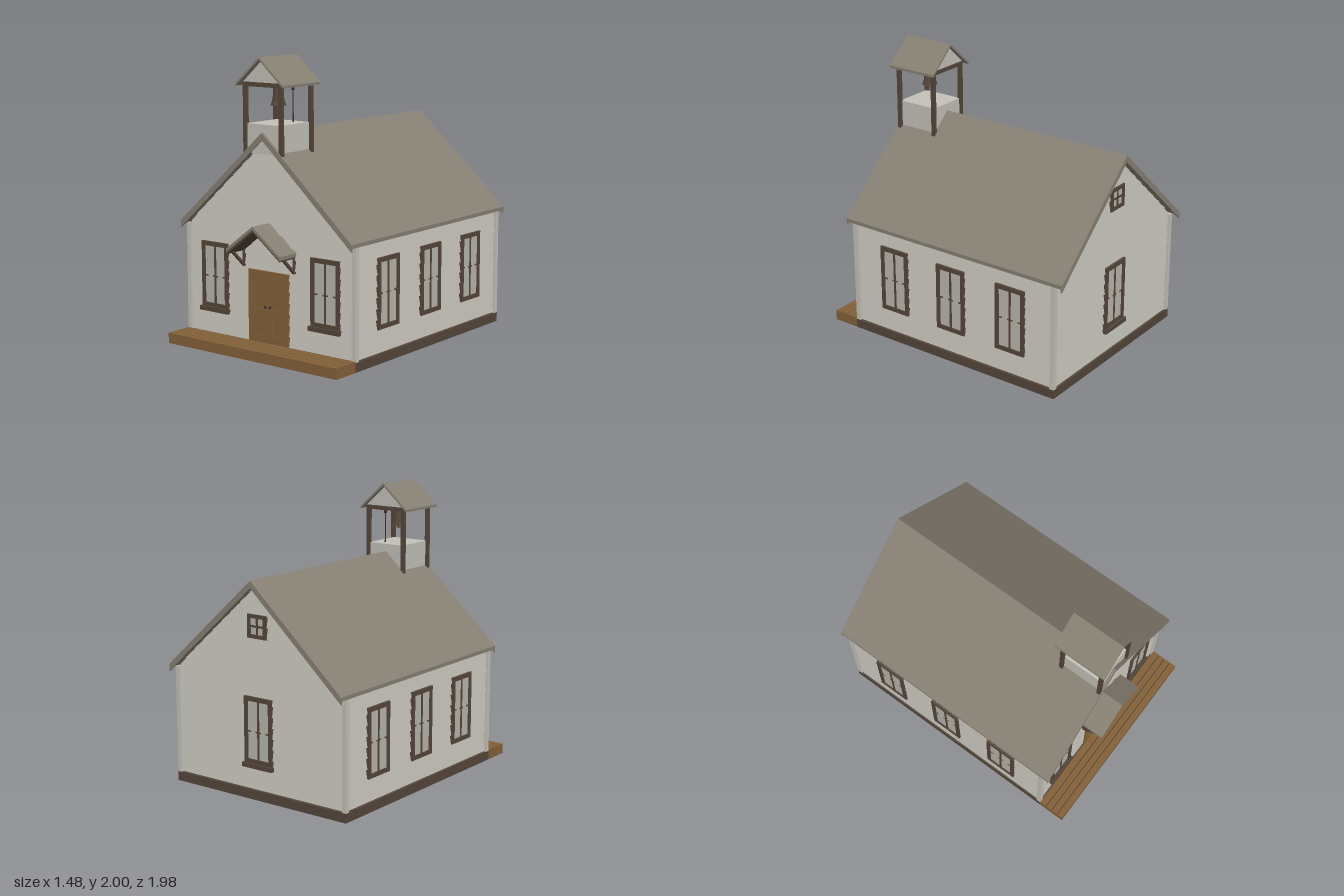
import * as THREE from 'three';

const mat = (name, color) => Object.assign(new THREE.MeshStandardMaterial({ color }), { name });
const M = {
  siding: mat('paleSiding', 0xc3c1b8),
  glass: mat('paneGrey', 0xb9b7ad),
  roof: mat('roofShingle', 0x878073),
  dark: mat('darkWood', 0x54463a),
  wood: mat('warmWood', 0x83613a),
  iron: mat('darkIron', 0x3a322b),
};

export function createModel() {
  const model = new THREE.Group();
  model.name = 'schoolhouse';

  const add = (parent, name, geo, m, x = 0, y = 0, z = 0) => {
    const mesh = new THREE.Mesh(geo, m);
    mesh.name = name;
    mesh.position.set(x, y, z);
    parent.add(mesh);
    return mesh;
  };
  // box given by its limits
  const box = (parent, name, m, x0, x1, y0, y1, z0, z1) =>
    add(parent, name, new THREE.BoxGeometry(x1 - x0, y1 - y0, z1 - z0), m,
      (x0 + x1) / 2, (y0 + y1) / 2, (z0 + z1) / 2);
  const group = (name, parent = model) => {
    const g = new THREE.Group();
    g.name = name;
    parent.add(g);
    return g;
  };
  const poly = (pts) => new THREE.Shape(pts.map(([x, y]) => new THREE.Vector2(x, y)));
  const extrude = (shape, depth) => new THREE.ExtrudeGeometry(shape, { depth, bevelEnabled: false });
  const rect = (x0, x1, y0, y1) => [[x0, y0], [x1, y0], [x1, y1], [x0, y1]];
  // upside-down V slab running along z
  const pitched = (parent, name, m, hw, eave, peak, t, z0, z1) =>
    add(parent, name, extrude(poly([[-hw, eave - t], [0, peak - t], [hw, eave - t],
      [hw, eave], [0, peak], [-hw, eave]]), z1 - z0), m, 0, 0, z0);
  // flat frame with rectangular holes
  const frame = (parent, name, m, outer, holes, z0, z1) => {
    const s = poly(rect(...outer));
    holes.forEach((h) => s.holes.push(poly(rect(...h))));
    return add(parent, name, extrude(s, z1 - z0), m, 0, 0, z0);
  };

  // foundation and porch
  box(model, 'foundation', M.dark, -0.735, 0.735, 0, 0.065, -0.93, 0.79);
  const porch = group('porch');
  box(porch, 'porchBase', M.wood, -0.735, 0.735, 0, 0.058, 0.79, 0.99);
  box(porch, 'plankGaps', M.iron, -0.73, 0.73, 0.058, 0.062, 0.79, 0.985);
  for (let i = 0; i < 4; i++)
    box(porch, 'porchPlank', M.wood, -0.735, 0.735, 0.058, 0.073, 0.79 + i * 0.05 + (i ? 0.005 : 0), 0.835 + i * 0.05 + 0.005);

  // wall core
  const slope = 0.892, top = 1.47, hw = 0.71, front = 0.765, back = -0.905;
  const walls = group('walls');
  const eaveY = top - slope * hw;
  add(walls, 'wallCore', extrude(poly([[-hw, 0.065], [hw, 0.065], [hw, eaveY], [0, top], [-hw, eaveY]]),
    front - back), M.siding, 0, 0, back);

  // lapped siding: each board leans out at its lower edge
  const lap = (w0, w1, h) => {
    const g = new THREE.BoxGeometry(1, h, 1);
    const p = g.attributes.position;
    for (let i = 0; i < p.count; i++) {
      const up = p.getY(i) > 0;
      p.setX(i, Math.sign(p.getX(i)) * (up ? w1 : w0) / 2);
      p.setZ(i, p.getZ(i) > 0 ? (up ? 0.002 : 0.015) : -0.005);
    }
    g.computeVertexNormals();
    return g;
  };
  const step = 0.0745;
  const gableWidth = (y) => 2 * Math.min(hw, Math.max(0.002, (top - y) / slope));
  const sideLength = front - back;
  for (let y = 0.072; y < top - 0.01; y += step) {
    const y1 = Math.min(y + step, top);
    for (const s of [1, -1]) {
      const b = add(walls, 'gableBoard', lap(gableWidth(y), gableWidth(y1), y1 - y), M.siding,
        0, (y + y1) / 2, s > 0 ? front : back);
      if (s < 0) b.rotation.y = Math.PI;
      if (y < 0.81) {
        const t = Math.min(y1, 0.83);
        const c = add(walls, 'sideBoard', lap(sideLength, sideLength, t - y), M.siding,
          s * hw, (y + t) / 2, (front + back) / 2);
        c.rotation.y = s * Math.PI / 2;
      }
    }
  }
  // corner boards
  for (const s of [1, -1])
    for (const z of [0.7725, -0.9125])
      add(walls, 'cornerBoard', new THREE.BoxGeometry(0.032, 0.757, 0.035), M.siding, s * 0.719, 0.4435, z);

  // main roof with barge boards at both ends
  const roof = group('roof');
  pitched(roof, 'roofSlab', M.roof, 0.74, 0.845, 1.505, 0.026, -0.98, 0.835);
  pitched(roof, 'bargeBoard', M.roof, 0.74, 0.845, 1.505, 0.05, 0.832, 0.842);
  pitched(roof, 'bargeBoard', M.roof, 0.74, 0.845, 1.505, 0.05, -0.987, -0.977);

  // sash windows, built facing +z with the wall at z = 0
  const sashWindow = (x, z, turn, sill) => {
    const g = group('window');
    const y0 = sill ? 0.25 : 0.23, y1 = 0.71, mid = 0.47;
    frame(g, 'windowFrame', M.dark, [-0.118, 0.118, y0, y1], [[-0.09, 0.09, y0 + 0.03, y1 - 0.03]], 0, 0.025);
    box(g, 'windowPanes', M.glass, -0.092, 0.092, y0 + 0.025, y1 - 0.025, 0, 0.016);
    box(g, 'mullion', M.dark, -0.008, 0.008, y0 + 0.03, y1 - 0.03, 0.01, 0.02);
    for (const [a, b] of [[-0.09, -0.065], [-0.022, 0.022], [0.065, 0.09]])
      box(g, 'meetingRail', M.dark, a, b, mid - 0.005, mid + 0.005, 0.01, 0.019);
    if (sill) box(g, 'windowSill', M.dark, -0.128, 0.128, 0.222, 0.253, 0, 0.04);
    g.position.set(x, 0, z);
    g.rotation.y = turn;
  };
  for (const s of [1, -1]) {
    sashWindow(s * 0.48, front, 0, true);
    for (const z of [0.423, -0.07, -0.567]) sashWindow(s * hw, z, s * Math.PI / 2, false);
  }
  sashWindow(0, back, Math.PI, true);

  // small attic window at the back
  const attic = group('atticWindow');
  frame(attic, 'atticFrame', M.dark, [-0.08, 0.08, 1.11, 1.27], [[-0.055, 0.055, 1.135, 1.245]], 0, 0.025);
  box(attic, 'atticPanes', M.glass, -0.057, 0.057, 1.133, 1.247, 0, 0.016);
  box(attic, 'atticMullion', M.dark, -0.007, 0.007, 1.135, 1.245, 0.01, 0.021);
  box(attic, 'atticRail', M.dark, -0.055, 0.055, 1.183, 1.197, 0.01, 0.021);
  attic.position.z = back;
  attic.rotation.y = Math.PI;

  // double door
  const door = group('door');
  box(door, 'doorPanels', M.wood, -0.17, 0.17, 0.073, 0.563, 0.765, 0.782);
  for (const s of [1, -1]) {
    const [a, b] = s > 0 ? [0.002, 0.173] : [-0.173, -0.002];
    frame(door, 'doorLeaf', M.wood, [a, b, 0.073, 0.566],
      [[a + 0.032, b - 0.032, 0.31, 0.5], [a + 0.032, b - 0.032, 0.125, 0.27]], 0.77, 0.79);
    add(door, 'doorKnob', new THREE.SphereGeometry(0.01, 12, 8), M.iron, s * 0.02, 0.325, 0.796);
  }

  // canopy over the door, on slanted brackets
  const canopy = group('canopy');
  pitched(canopy, 'canopyRoof', M.roof, 0.232, 0.72, 0.895, 0.024, 0.765, 0.945);
  pitched(canopy, 'canopyLining', M.dark, 0.226, 0.7, 0.872, 0.016, 0.765, 0.938);
  for (const s of [1, -1]) {
    const b = add(canopy, 'canopyBracket', new THREE.BoxGeometry(0.016, 0.018, 0.18), M.dark, s * 0.218, 0.647, 0.845);
    b.rotation.x = -0.76;
    box(canopy, 'bracketPost', M.dark, s * 0.218 - 0.008, s * 0.218 + 0.008, 0.58, 0.7, 0.765, 0.787);
  }

  // belfry
  const belfry = group('belfry');
  const zf = 0.822, zb = 0.515, zc = 0.6685;
  box(belfry, 'belfryBox', M.siding, -0.145, 0.145, 1.36, 1.557, zb, zf);
  for (const z of [zf, zb]) {
    for (const s of [1, -1])
      add(belfry, 'belfryPost', new THREE.BoxGeometry(0.027, 0.475, 0.027), M.dark, s * 0.152, 1.5925, z);
    box(belfry, 'crossBeam', M.dark, -0.165, 0.165, 1.803, 1.832, z - 0.0135, z + 0.0135);
    add(belfry, 'belfryGable', extrude(poly([[-0.165, 1.832], [0.165, 1.832], [0, 1.98]]), 0.016),
      M.siding, 0, 0, z - 0.008);
  }
  for (const s of [1, -1])
    box(belfry, 'sideBeam', M.dark, s * 0.152 - 0.0135, s * 0.152 + 0.0135, 1.803, 1.832, zb, zf);
  box(belfry, 'bellBeam', M.dark, -0.15, 0.15, 1.805, 1.83, zc - 0.015, zc + 0.015);
  pitched(belfry, 'belfryRoof', M.roof, 0.2, 1.824, 2, 0.018, 0.475, 0.865);

  // bell, clapper and rope
  const bellProfile = [[0, 1.69], [0.04, 1.675], [0.055, 1.672], [0.044, 1.7], [0.036, 1.74], [0.03, 1.775],
    [0.016, 1.79], [0, 1.792]].map(([r, y]) => new THREE.Vector2(r, y));
  const bell = new THREE.LatheGeometry(bellProfile, 10).toNonIndexed();
  bell.computeVertexNormals();
  add(belfry, 'bell', bell, M.dark, 0, 0, zc);
  add(belfry, 'clapper', new THREE.CylinderGeometry(0.007, 0.007, 0.04, 8), M.dark, 0, 1.675, zc);
  add(belfry, 'bellHanger', new THREE.CylinderGeometry(0.05, 0.02, 0.03, 4), M.dark, 0, 1.795, zc);
  box(belfry, 'ropeArm', M.iron, 0.046, 0.06, 1.77, 1.81, 0.573, 0.587);
  box(belfry, 'ropeBeam', M.dark, -0.15, 0.15, 1.807, 1.828, 0.572, 0.588);
  add(belfry, 'bellRope', new THREE.CylinderGeometry(0.004, 0.004, 0.26, 6), M.iron, 0.053, 1.68, 0.58);

  return model;
}
